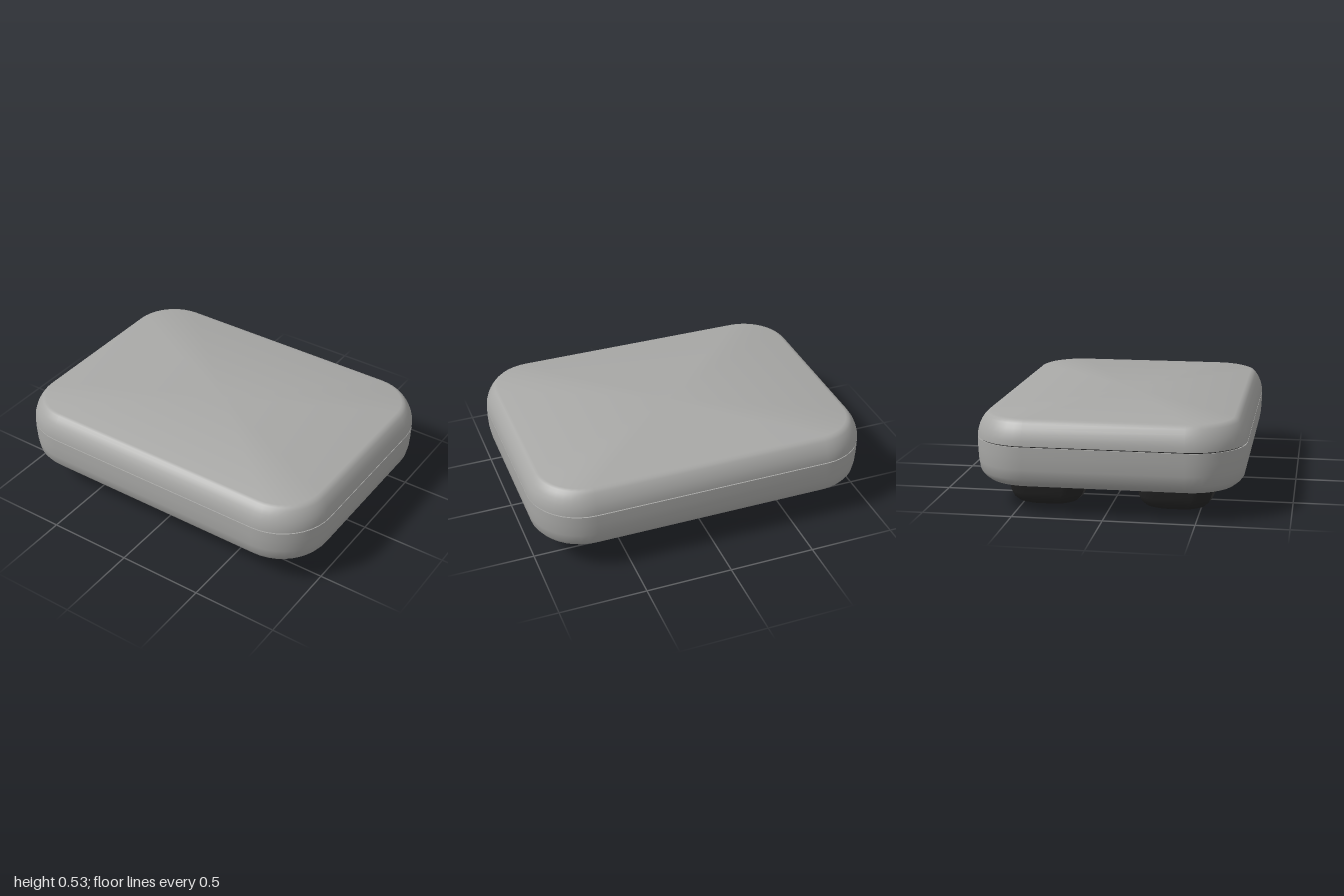
import * as THREE from 'three';
import { toCreasedNormals } from 'three/addons/utils/BufferGeometryUtils.js';

// Rounded rectangle in the ground plane, as a ring of points at height y
function ring(y, cx, hx, hz, r, n = 10) {
  const pts = [];
  [[1, -1], [-1, -1], [-1, 1], [1, 1]].forEach(([sx, sz], q) => {
    for (let i = 0; i <= n; i++) {
      const a = (q + i / n) * Math.PI / 2;
      pts.push([cx + sx * (hx - r) + r * Math.cos(a), y, sz * (hz - r) - r * Math.sin(a)]);
    }
  });
  return pts;
}

// Skin a stack of rings from bottom to top and close both ends
function loft(rings, crease = 0.6) {
  const pos = [];
  const tri = (...p) => p.forEach(v => pos.push(...v));
  const mid = r => [0, 1, 2].map(k => r.reduce((s, p) => s + p[k], 0) / r.length);
  const n = rings[0].length, last = rings[rings.length - 1];
  const bottom = mid(rings[0]), top = mid(last);
  for (let j = 0; j < n; j++) {
    const k = (j + 1) % n;
    for (let i = 0; i < rings.length - 1; i++) {
      const a = rings[i], b = rings[i + 1];
      tri(a[j], a[k], b[k]);
      tri(a[j], b[k], b[j]);
    }
    tri(bottom, rings[0][k], rings[0][j]);
    tri(top, last[j], last[k]);
  }
  const g = new THREE.BufferGeometry();
  g.setAttribute('position', new THREE.Float32BufferAttribute(pos, 3));
  return toCreasedNormals(g, crease);
}

// Rounded trough section, extruded along x and centred
function trough(length, w, y0) {
  const s = new THREE.Shape();
  s.moveTo(-w - 0.012, 0.16);
  s.quadraticCurveTo(-w, 0.145, -w + 0.005, 0.115);
  s.bezierCurveTo(-w + 0.015, 0.05, -w + 0.06, y0, -w + 0.12, y0);
  s.lineTo(w - 0.12, y0);
  s.bezierCurveTo(w - 0.06, y0, w - 0.015, 0.05, w - 0.005, 0.115);
  s.quadraticCurveTo(w, 0.145, w + 0.012, 0.16);
  s.closePath();
  const g = new THREE.ExtrudeGeometry(s, { depth: length, bevelEnabled: false, curveSegments: 10 });
  g.translate(0, 0, -length / 2);
  g.rotateY(Math.PI / 2);
  return toCreasedNormals(g, 0.6);
}

export function createModel() {
  const model = new THREE.Group();
  const grey = new THREE.MeshStandardMaterial({ name: 'shellGrey', color: 0xa8a8a6 });
  const black = new THREE.MeshStandardMaterial({ name: 'rubberBlack', color: 0x262626 });

  const add = (parent, name, geometry, material) => {
    const m = new THREE.Mesh(geometry, material);
    m.name = name;
    parent.add(m);
    return m;
  };

  // Case: two shells meeting at a thin recessed seam, given as [height, inset]
  const shell = profile => loft(profile.map(([y, d]) => ring(y, 0, 1 - d, 0.75 - d, 0.31 - d)));
  add(model, 'lowerShell', shell([[0.15, 0.085], [0.158, 0.06], [0.18, 0.032], [0.205, 0.014],
    [0.26, 0.004], [0.33, 0], [0.387, 0]]), grey);
  add(model, 'upperShell', shell([[0.393, 0], [0.42, 0.002], [0.455, 0.012], [0.485, 0.026],
    [0.51, 0.043], [0.524, 0.057], [0.53, 0.075]]), grey);
  add(model, 'seam', shell([[0.385, 0.008], [0.395, 0.008]]), black);

  // Two runners underneath, each with a dark collar and cap at both ends
  const beam = trough(1.3, 0.217, 0.014);
  const collar = trough(0.022, 0.226, 0);
  const cap = loft([[0.01, 0.745, 0.115], [0.014, 0.77, 0.145], [0.026, 0.795, 0.168],
    [0.05, 0.817, 0.188], [0.085, 0.832, 0.2], [0.125, 0.84, 0.207], [0.14, 0.845, 0.212],
    [0.142, 0.858, 0.222], [0.155, 0.858, 0.222]].map(([y, x, w]) =>
    ring(y, (x + 0.45) / 2, (x - 0.45) / 2, w, 0.1)));
  for (const side of [1, -1]) {
    const runner = new THREE.Group();
    runner.name = side > 0 ? 'frontRunner' : 'backRunner';
    runner.position.z = side * 0.36;
    add(runner, 'beam', beam, grey);
    for (const end of [1, -1]) {
      add(runner, 'collar', collar, black).position.x = end * 0.655;
      add(runner, 'endCap', cap, black).rotation.y = end > 0 ? 0 : Math.PI;
    }
    model.add(runner);
  }
  return model;
}
